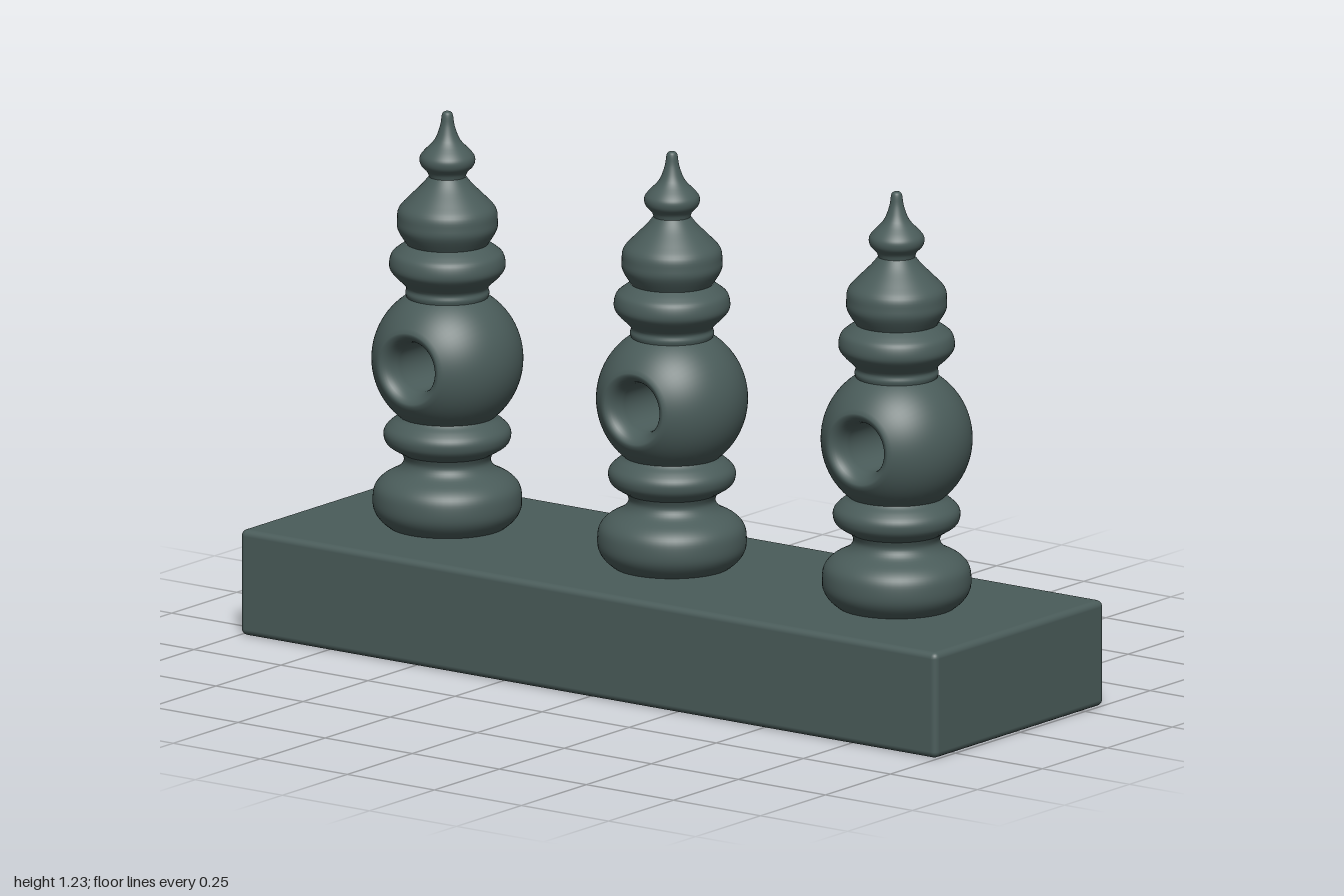
import * as THREE from 'three';
import { RoundedBoxGeometry } from 'three/addons/geometries/RoundedBoxGeometry.js';

const SEGMENTS = 64;
const BALL_Y = 0.645, BALL_R = 0.175, HOLE_R = 0.058, RIM_R = 0.087;

// Smooth turned profile, listed from bottom to top as [radius, y]
function turned(points, samples) {
  const curve = new THREE.SplineCurve(points.map(([r, y]) => new THREE.Vector2(r, y)));
  const profile = curve.getPoints(samples);
  profile.forEach((p) => { p.x = Math.max(p.x, 0); });
  return new THREE.LatheGeometry(profile, SEGMENTS);
}

// Ball revolved about z, with a round hole through it whose rim is softened
function piercedBall() {
  const profile = [];
  const a = Math.acos(RIM_R / BALL_R);
  for (let i = 0; i <= 32; i++) {
    const t = -a + (2 * a * i) / 32;
    profile.push(new THREE.Vector2(BALL_R * Math.cos(t), BALL_R * Math.sin(t)));
  }
  const zRim = BALL_R * Math.sin(a);
  const flare = new THREE.QuadraticBezierCurve(
    new THREE.Vector2(RIM_R, zRim), new THREE.Vector2(HOLE_R + 0.004, zRim - 0.004), new THREE.Vector2(HOLE_R, 0.105));
  const inner = flare.getPoints(8).slice(1);
  profile.push(...inner);
  profile.push(...inner.map((p) => new THREE.Vector2(p.x, -p.y)).reverse());
  profile.push(profile[0].clone());
  return new THREE.LatheGeometry(profile, SEGMENTS).rotateX(Math.PI / 2);
}

export function createModel() {
  const model = new THREE.Group();
  model.name = 'postRow';
  const slate = new THREE.MeshStandardMaterial({ color: 0x4a5c5a });
  slate.name = 'slateGreen';

  function add(parent, name, geometry, y = 0) {
    const mesh = new THREE.Mesh(geometry, slate);
    mesh.name = name;
    mesh.position.y = y;
    parent.add(mesh);
  }

  // Plinth
  add(model, 'base', new RoundedBoxGeometry(2, 0.25, 0.65, 3, 0.015), 0.125);

  // Turned sections shared by all posts
  const parts = {
    foot: turned([[0.13, 0.245], [0.155, 0.265], [0.17, 0.29], [0.172, 0.32], [0.166, 0.345],
      [0.147, 0.365], [0.113, 0.384], [0.1, 0.404], [0.106, 0.423]], 32),
    lowerRing: turned([[0.106, 0.423], [0.138, 0.443], [0.147, 0.463], [0.144, 0.48],
      [0.13, 0.495], [0.115, 0.506], [0.106, 0.516]], 24),
    upperRing: turned([[0.092, 0.785], [0.097, 0.8], [0.096, 0.817], [0.122, 0.843],
      [0.134, 0.863], [0.13, 0.89], [0.115, 0.905], [0.095, 0.918]], 32),
    bulb: turned([[0.092, 0.914], [0.114, 0.95], [0.116, 0.975], [0.112, 1.0],
      [0.09, 1.025], [0.06, 1.055], [0.043, 1.076]], 24),
    finial: turned([[0.042, 1.074], [0.047, 1.088], [0.061, 1.103], [0.064, 1.12], [0.055, 1.135],
      [0.03, 1.162], [0.017, 1.195], [0.013, 1.22], [0.009, 1.228], [0, 1.231]], 36),
  };
  const ball = piercedBall();

  // Three identical posts
  ['rightPost', 'middlePost', 'leftPost'].forEach((name, i) => {
    const post = new THREE.Group();
    post.name = name;
    post.position.x = (i - 1) * 0.645;
    for (const [part, geometry] of Object.entries(parts)) add(post, part, geometry);
    add(post, 'piercedBall', ball, BALL_Y);
    model.add(post);
  });
  return model;
}
